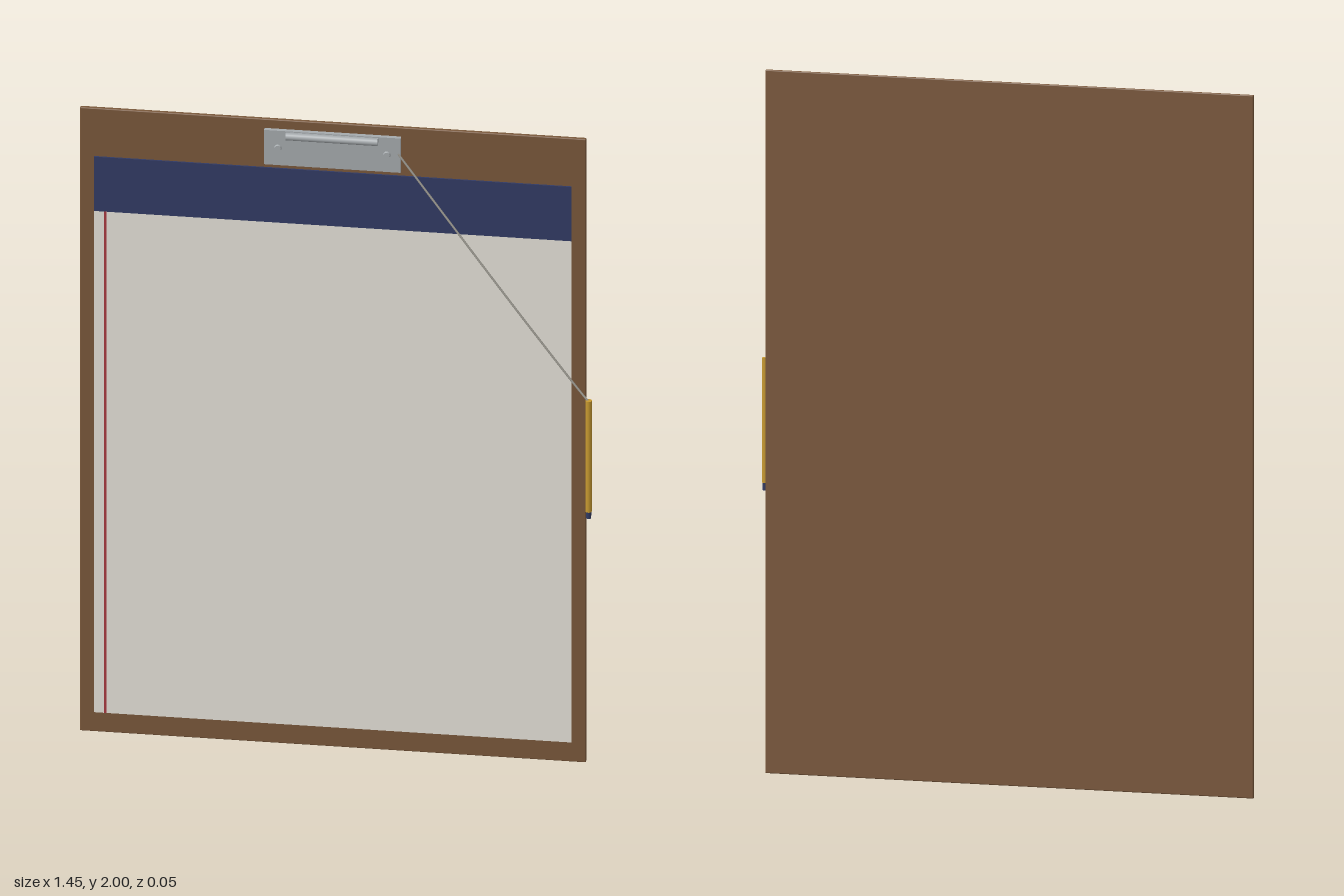
import * as THREE from 'three';
import { RoundedBoxGeometry } from 'three/addons/geometries/RoundedBoxGeometry.js';

const material = (name, color) => {
  const m = new THREE.MeshStandardMaterial({ color });
  m.name = name;
  return m;
};

export function createModel() {
  const group = new THREE.Group();
  group.name = 'clipboard';

  const wood = material('brown board', 0x7a583b);
  const paper = material('paper', 0xe6e3d9);
  const navy = material('navy', 0x323b64);
  const red = material('margin red', 0xa83840);
  const steel = material('steel', 0xa6abae);
  const cord = material('cord grey', 0xa8a59c);
  const yellow = material('pencil yellow', 0xc89a30);

  const add = (name, geometry, mat, x = 0, y = 0, z = 0) => {
    const mesh = new THREE.Mesh(geometry, mat);
    mesh.name = name;
    mesh.position.set(x, y, z);
    group.add(mesh);
    return mesh;
  };
  // Box given by its limits on each axis
  const slab = (name, mat, [x0, x1], [y0, y1], [z0, z1]) =>
    add(name, new THREE.BoxGeometry(x1 - x0, y1 - y0, z1 - z0), mat,
      (x0 + x1) / 2, (y0 + y1) / 2, (z0 + z1) / 2);

  const cx = -0.0105; // board centre; the pencil hangs past its edge

  // Board
  add('board', new RoundedBoxGeometry(1.43, 2, 0.012, 2, 0.003), wood, cx, 1, -0.019);

  // Paper pad with header band and margin line
  slab('paperPad', paper, [-0.685, 0.664], [0.064, 1.673], [-0.013, -0.009]);
  slab('headerBand', navy, [-0.685, 0.664], [1.673, 1.847], [-0.013, -0.0085]);
  slab('marginLine', red, [-0.656, -0.65], [0.064, 1.673], [-0.009, -0.008]);

  // Metal clip: plate, lever with rolled lip, rivets
  slab('clipPlate', steel, [cx - 0.193, cx + 0.193], [1.862, 1.972], [-0.013, -0.001]);
  slab('clipLever', steel, [cx - 0.13, cx + 0.13], [1.957, 1.969], [-0.001, 0.012]);
  const lip = add('clipLip', new THREE.CylinderGeometry(0.011, 0.011, 0.26, 16), steel, cx, 1.963, 0.012);
  lip.rotation.z = Math.PI / 2;
  for (const side of [-1, 1]) {
    const rivet = add('rivet', new THREE.CylinderGeometry(0.009, 0.011, 0.005, 16), steel,
      cx + side * 0.154, 1.917, 0.001);
    rivet.rotation.x = Math.PI / 2;
  }

  // Cord from the clip to the pencil
  const path = new THREE.CatmullRomCurve3([
    [0.175, 1.922, -0.002], [0.35, 1.673, 0], [0.53, 1.42, 0.003],
    [0.69, 1.2, 0.004], [0.714, 1.172, 0.008],
  ].map((p) => new THREE.Vector3(...p)));
  add('cord', new THREE.TubeGeometry(path, 40, 0.003, 6), cord);

  // Pencil hanging beside the board
  add('pencilBody', new THREE.CylinderGeometry(0.0095, 0.0095, 0.355, 12), yellow, 0.715, 0.998, 0.0095);
  add('pencilTip', new THREE.CylinderGeometry(0.008, 0.007, 0.022, 12), navy, 0.715, 0.81, 0.0095);

  return group;
}
